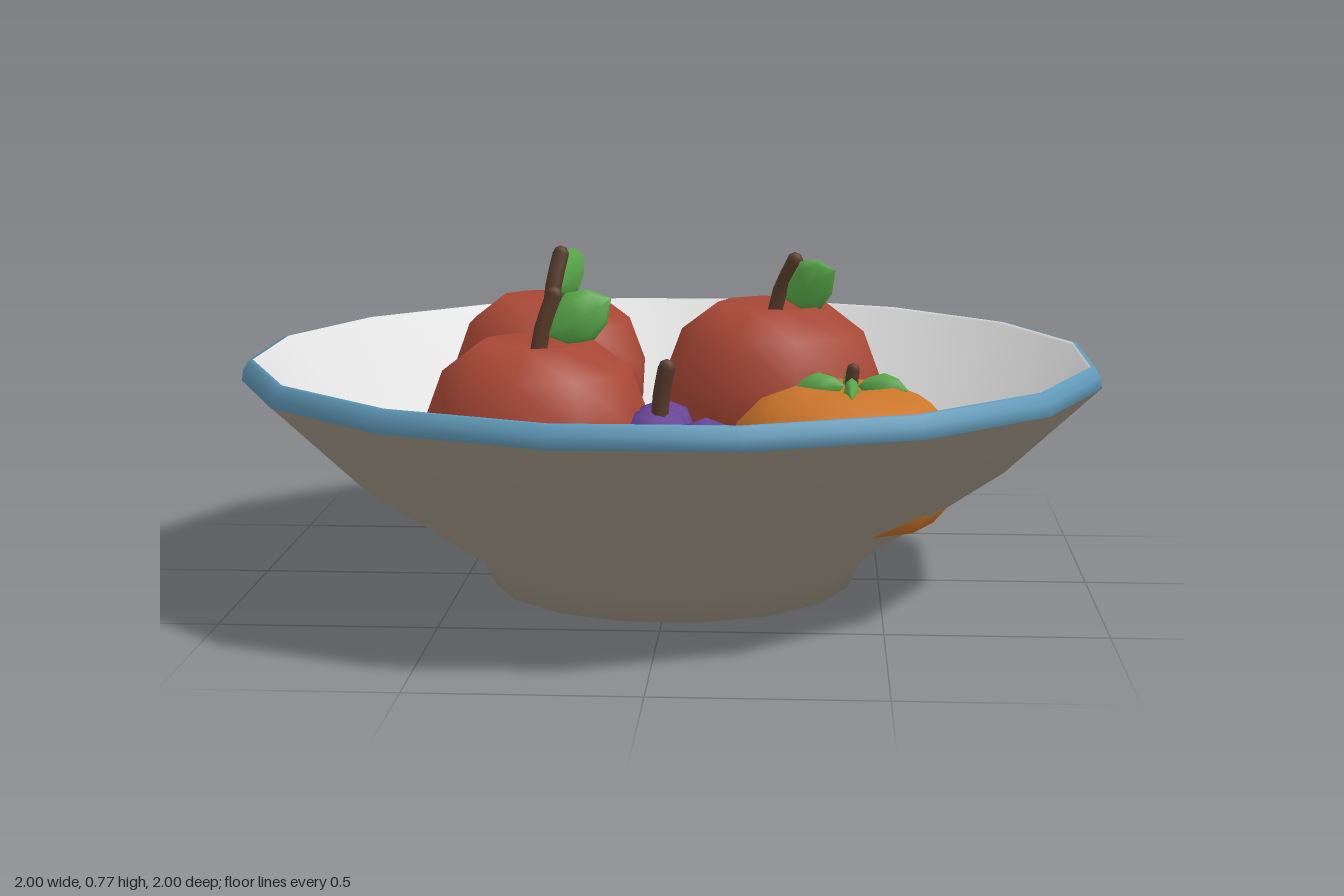
import * as THREE from 'three';

const mat = (name, color) => {
  const m = new THREE.MeshStandardMaterial({ color });
  m.name = name;
  return m;
};
const V = (a) => new THREE.Vector3(...a);

export function createModel() {
  const clay = mat('clay', 0xa49a89);
  const glaze = mat('whiteGlaze', 0xe0e0e0);
  const blue = mat('blueRim', 0x6099b8);
  const red = mat('appleRed', 0xa94836);
  const orange = mat('persimmonOrange', 0xcc762a);
  const purple = mat('grapePurple', 0x68459a);
  const green = mat('leafGreen', 0x5aaa4a);
  const brown = mat('stemBrown', 0x5a3d2c);

  const model = new THREE.Group();
  model.name = 'fruitBowl';

  const add = (parent, name, geometry, material, pos = [0, 0, 0]) => {
    const mesh = new THREE.Mesh(geometry, material);
    mesh.name = name;
    mesh.position.set(...pos);
    parent.add(mesh);
    return mesh;
  };
  const lathe = (points, sides, phase = 0) =>
    new THREE.LatheGeometry(points.map(([x, y]) => new THREE.Vector2(x, y)), sides, phase);

  // Short bent stem with a rounded tip
  const addStem = (parent, from, to, radius) => {
    const a = V(from), b = V(to);
    const mid = a.clone().lerp(b, 0.5);
    mid.x = a.x + (b.x - a.x) * 0.3;
    mid.z = a.z + (b.z - a.z) * 0.3;
    const path = new THREE.CatmullRomCurve3([a, mid, b]);
    add(parent, 'stem', new THREE.TubeGeometry(path, 4, radius, 6), brown);
    add(parent, 'stemTip', new THREE.SphereGeometry(radius, 6, 4), brown, to);
  };

  // Pointed leaf: thin across the horizontal, broad on its other axis
  const addLeaf = (parent, from, to, thickness, breadth) => {
    const a = V(from);
    const along = V(to).sub(a);
    const side = new THREE.Vector3(0, 1, 0).cross(along).normalize();
    const up = side.clone().cross(along).normalize();
    const geo = lathe([[0, 0], [0.3, 0.18], [0.5, 0.5], [0.36, 0.78], [0, 1]], 8);
    const m = new THREE.Matrix4().makeBasis(
      side.multiplyScalar(thickness), along, up.multiplyScalar(breadth));
    geo.applyMatrix4(m.setPosition(a));
    add(parent, 'leaf', geo, green);
  };

  // Bowl: sixteen-sided clay outside, thin glazed inside, painted lip
  const bowl = new THREE.Group();
  bowl.name = 'bowl';
  model.add(bowl);
  const phase = Math.PI / 16;
  add(bowl, 'bowlOutside', lathe(
    [[0, 0], [0.432, 0], [0.466, 0.07], [0.8, 0.3], [1.018, 0.508]], 16, phase), clay);
  add(bowl, 'bowlInside', lathe(
    [[1, 0.556], [0.988, 0.552], [0.775, 0.315], [0.44, 0.075], [0, 0.045]], 16, phase), glaze);
  add(bowl, 'bowlRim', lathe(
    [[1, 0.498], [1.02, 0.509], [1.016, 0.535], [1.004, 0.556], [0.993, 0.558]], 16, phase), blue);

  // Apples: centre, radius, top height, stem tip and leaf tip
  const apples = [
    { x: -0.335, z: -0.373, r: 0.252, top: 0.64, stem: [-0.31, 0.745, -0.405], leaf: [-0.265, 0.73, -0.525] },
    { x: 0.235, z: -0.272, r: 0.275, top: 0.64, stem: [0.29, 0.75, -0.24], leaf: [0.39, 0.735, -0.165] },
    { x: -0.3, z: 0.238, r: 0.263, top: 0.615, stem: [-0.26, 0.72, 0.23], leaf: [-0.13, 0.71, 0.2] },
  ];
  const appleProfile = [[0, -1.68], [0.4, -1.74], [0.78, -1.47], [0.97, -1.06],
    [0.99, -0.68], [0.83, -0.25], [0.5, 0], [0, -0.12]];
  apples.forEach(({ x, z, r, top, stem, leaf }, i) => {
    const apple = new THREE.Group();
    apple.name = 'apple' + (i + 1);
    model.add(apple);
    add(apple, 'appleBody', lathe(appleProfile.map(([px, py]) => [px * r, py * r]), 10, i * 0.25),
      red, [x, top, z]);
    addStem(apple, [x, top - 0.06, z], stem, 0.021);
    const base = [x + (stem[0] - x) * 0.6, top + 0.01, z + (stem[2] - z) * 0.6];
    addLeaf(apple, base, leaf, 0.045, 0.13);
  });

  // Persimmon: squat body, four-leaf calyx and a stub of stem
  const persimmon = new THREE.Group();
  persimmon.name = 'persimmon';
  persimmon.position.set(0.412, 0.352, 0.267);
  model.add(persimmon);
  add(persimmon, 'persimmonBody', lathe(
    [[0, -0.16], [0.1, -0.16], [0.205, -0.142], [0.25, -0.09], [0.27, 0], [0.252, 0.075],
      [0.195, 0.135], [0.11, 0.168], [0, 0.155]], 10, 0.2), orange);
  for (let i = 0; i < 4; i++) {
    const a = i * Math.PI / 2, s = Math.sin(a), c = Math.cos(a);
    addLeaf(persimmon, [s * 0.015 + 0.012, 0.17, c * 0.015],
      [s * 0.13 + 0.012, 0.16, c * 0.13], 0.036, 0.07);
  }
  addStem(persimmon, [0.012, 0.15, 0], [0.016, 0.208, 0.005], 0.015);

  // Grapes heaped in two layers
  const grapes = new THREE.Group();
  grapes.name = 'grapes';
  model.add(grapes);
  const berries = [
    [0, 0.44, 0.55], [-0.11, 0.39, 0.555], [0.105, 0.41, 0.545], [0, 0.42, 0.365],
    [-0.15, 0.35, 0.475], [0.15, 0.36, 0.43], [0, 0.4, 0.46],
    [-0.06, 0.3, 0.5], [0.07, 0.3, 0.5], [0, 0.27, 0.41],
  ];
  berries.forEach((p, i) => {
    const berry = add(grapes, 'grape' + (i + 1), new THREE.SphereGeometry(0.085, 6, 4), purple, p);
    berry.rotation.y = Math.PI / 6;
  });
  addStem(grapes, [0.005, 0.49, 0.575], [0.022, 0.612, 0.592], 0.019);

  return model;
}
